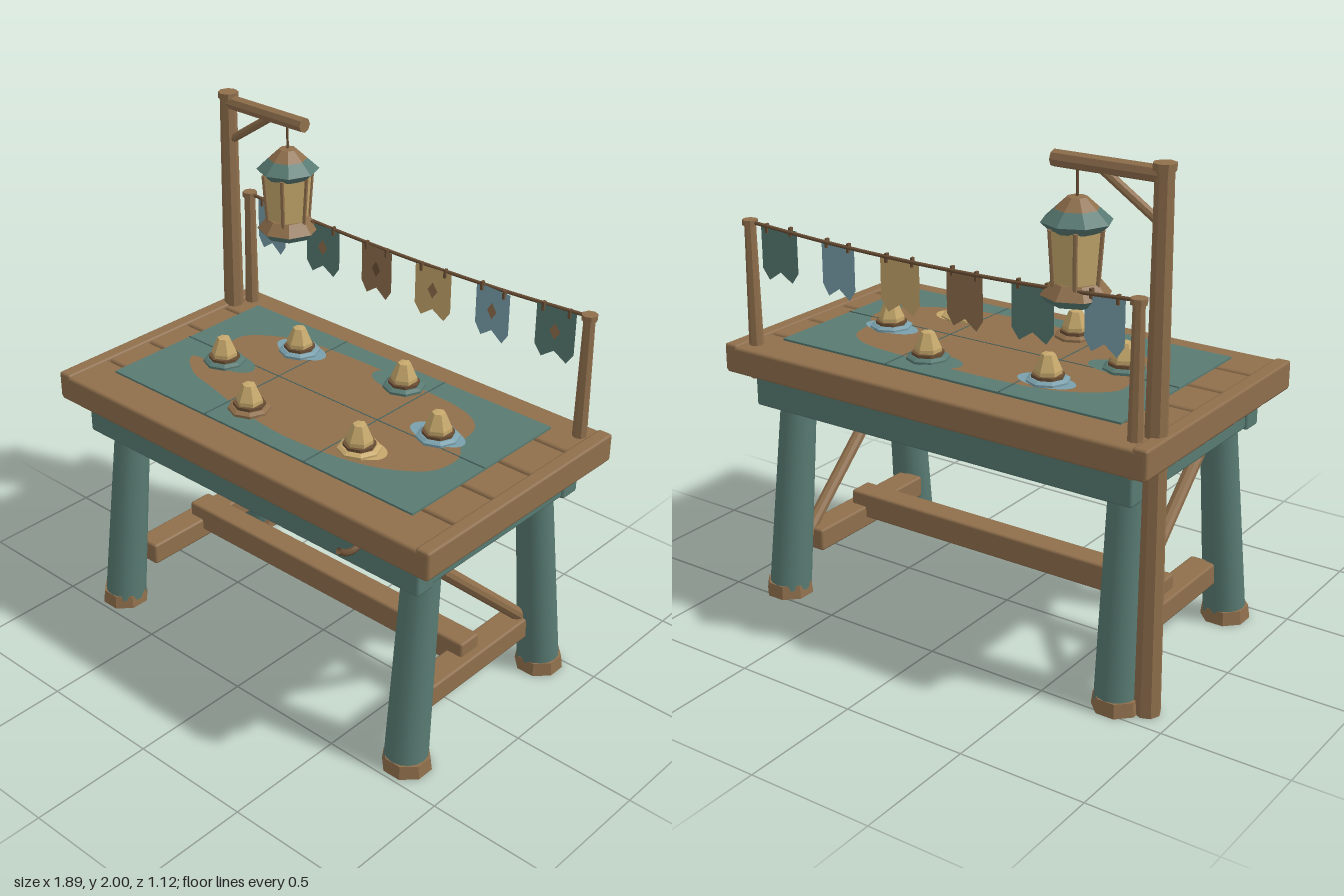
import * as THREE from 'three';
import { RoundedBoxGeometry } from 'three/addons/geometries/RoundedBoxGeometry.js';

const mat = (name, color, extra = {}) => {
  const m = new THREE.MeshStandardMaterial({ color, side: THREE.DoubleSide, ...extra });
  m.name = name;
  return m;
};

export function createModel() {
  const root = new THREE.Group();
  root.name = 'mapTable';
  const wood = mat('wood', 0x8f6f4c), teal = mat('teal', 0x587a72), blue = mat('blue', 0x7aa0ac);
  const tan = mat('tan', 0xc6a86c), dark = mat('darkWood', 0x6b4f35), ink = mat('creaseTeal', 0x4a655f);

  const add = (name, geo, m, x = 0, y = 0, z = 0, parent = root) => {
    const mesh = new THREE.Mesh(geo, m);
    mesh.name = name;
    mesh.position.set(x, y, z);
    parent.add(mesh);
    return mesh;
  };
  const flat = (geo) => {
    const g = geo.index ? geo.toNonIndexed() : geo;
    g.computeVertexNormals();
    return g;
  };
  // Box given by its low and high corners
  const box = (name, m, a, b, r = 0.01) => add(name,
    new RoundedBoxGeometry(b[0] - a[0], b[1] - a[1], b[2] - a[2], 1, r), m,
    (a[0] + b[0]) / 2, (a[1] + b[1]) / 2, (a[2] + b[2]) / 2);
  // Tapered pole between two points
  const pole = (name, m, a, b, ra, rb = ra, sides = 8, smooth = false) => {
    const p = new THREE.Vector3(...a), q = new THREE.Vector3(...b), d = q.clone().sub(p);
    const geo = new THREE.CylinderGeometry(rb, ra, d.length(), sides);
    const mesh = add(name, smooth ? geo : flat(geo), m);
    mesh.position.copy(p.add(q).multiplyScalar(0.5));
    mesh.quaternion.setFromUnitVectors(new THREE.Vector3(0, 1, 0), d.normalize());
    return mesh;
  };
  // Faceted stack of rings: [radius, y]
  const turned = (name, m, pts, sides, x, y, z, parent = root) => add(name,
    flat(new THREE.LatheGeometry(pts.map((p) => new THREE.Vector2(...p)), sides)), m, x, y, z, parent);

  // Table top: five planks and end battens
  for (let i = 0; i < 5; i++) {
    const z = -0.56 + i * 0.216;
    box('plank', wood, [-0.94, 0.955, z + 0.004], [0.94, 1.064, z + 0.212], 0.012);
  }
  for (const s of [-1, 1]) {
    box('endBatten', wood, [s * 0.913 - 0.03, 0.96, -0.555], [s * 0.913 + 0.03, 1.072, 0.515], 0.01);
  }

  // Apron frame
  for (const z of [0.405, -0.445]) box('longApron', teal, [-0.85, 0.815, z - 0.045], [0.85, 0.955, z + 0.045]);
  for (const s of [-1, 1]) {
    box('sideApron', teal, [s * 0.79 - 0.05, 0.82, -0.45], [s * 0.79 + 0.05, 0.955, 0.41]);
  }
  box('apronTrim', wood, [-0.82, 0.922, 0.44], [0.845, 0.944, 0.455], 0.003);

  // Splayed legs, feet and side bracing
  for (const s of [-1, 1]) {
    for (const [zb, zt] of [[0.392, 0.31], [-0.428, -0.348]]) {
      pole('leg', teal, [s * 0.775, 0.03, zb], [s * 0.755, 0.85, zt], 0.084, 0.07, 16, true);
      add('foot', flat(new THREE.CylinderGeometry(0.09, 0.097, 0.055, 8)), wood, s * 0.78, 0.0275, zb)
        .rotation.y = Math.PI / 8;
    }
    box('sideStretcher', wood, [s * 0.72 - 0.055, 0.172, -0.35], [s * 0.72 + 0.055, 0.265, 0.31]);
    pole('diagonalBrace', wood, [s * 0.735, 0.82, 0.265], [s * 0.735, 0.24, -0.36], 0.027, 0.027, 10);
  }
  box('longStretcher', wood, [-0.74, 0.215, -0.07], [0.74, 0.323, 0.035]);

  // Hook under the front edge
  add('hook', new THREE.TubeGeometry(new THREE.CatmullRomCurve3([
    new THREE.Vector3(0.58, 0.91, 0.44), new THREE.Vector3(0.58, 0.905, 0.48),
    new THREE.Vector3(0.58, 0.915, 0.52), new THREE.Vector3(0.58, 0.94, 0.555)]), 10, 0.013, 6), dark);

  // Map sheet with land and fold lines
  add('mapSheet', new THREE.BoxGeometry(1.52, 0.008, 0.8), teal, 0, 1.084, -0.02);
  const coast = [[-0.6, -0.17], [-0.5, -0.26], [-0.36, -0.31], [-0.02, -0.33], [0.13, -0.32], [0.46, -0.29],
    [0.56, -0.22], [0.59, -0.1], [0.65, -0.01], [0.64, 0.11], [0.56, 0.19], [0.41, 0.26], [0.08, 0.3],
    [-0.17, 0.27], [-0.38, 0.22], [-0.53, 0.18], [-0.63, 0.09], [-0.55, 0.06], [-0.59, -0.05]];
  const sheet = (name, shape, m, x, y, z) => {
    const mesh = add(name, new THREE.ShapeGeometry(shape, 16), m, x, y, z);
    mesh.rotation.x = -Math.PI / 2;
    return mesh;
  };
  const curve = new THREE.CatmullRomCurve3(coast.map(([x, z]) => new THREE.Vector3(x, -z, 0)), true);
  sheet('land', new THREE.Shape(curve.getPoints(76).map((p) => new THREE.Vector2(p.x, p.y))), wood, 0, 1.09, 0);
  for (const x of [-0.255, 0.255]) add('fold', new THREE.BoxGeometry(0.005, 0.003, 0.8), ink, x, 1.09, -0.02);
  add('fold', new THREE.BoxGeometry(1.52, 0.003, 0.005), ink, 0, 1.09, -0.02);

  // Tokens on coloured patches
  const tokens = [[-0.34, -0.23, blue, 0.0], [0.16, -0.285, teal, -0.04], [0.5, -0.076, blue, -0.01],
    [0.345, 0.183, tan, 0.02], [-0.157, 0.24, wood, 0], [-0.5, 0.035, teal, 0.025]];
  for (const [x, z, m, shift] of tokens) {
    const patch = new THREE.Shape();
    patch.absellipse(0, 0, m === tan || m === wood ? 0.09 : 0.12, 0.065, 0, Math.PI * 2);
    sheet('patch', patch, m, x + shift, 1.093, z - 0.01);
    const token = new THREE.Group();
    token.name = 'token';
    token.position.set(x, 1.09, z);
    root.add(token);
    turned('tokenBase', m, [[0, 0], [0.083, 0], [0.083, 0.01], [0.068, 0.018], [0, 0.018]], 8, 0, 0, 0, token);
    turned('tokenRing', dark, [[0.062, 0.016], [0.062, 0.03], [0, 0.03]], 8, 0, 0, 0, token);
    turned('tokenTop', tan, [[0.052, 0.028], [0.052, 0.045], [0.026, 0.105], [0, 0.108]], 6, 0, 0, 0, token);
  }

  // Lantern post with arm and brace
  const pz = -0.405;
  pole('lanternPost', wood, [-0.89, 0, pz], [-0.89, 1.98, pz], 0.05, 0.034);
  pole('postCap', wood, [-0.89, 1.975, pz], [-0.89, 2, pz], 0.041);
  pole('lanternArm', wood, [-0.9, 1.96, pz], [-0.47, 1.96, pz], 0.03);
  pole('armBrace', wood, [-0.88, 1.8, pz], [-0.66, 1.945, pz], 0.017);

  // Lantern
  const lantern = new THREE.Group();
  lantern.name = 'lantern';
  lantern.position.set(-0.563, 0, pz);
  root.add(lantern);
  add('hanger', new THREE.CylinderGeometry(0.005, 0.005, 0.11, 6), dark, 0, 1.885, 0, lantern);
  turned('roofCap', wood, [[0.078, 1.803], [0.035, 1.842], [0, 1.845]], 8, 0, 0, 0, lantern);
  turned('roof', teal, [[0, 1.73], [0.095, 1.73], [0.125, 1.76], [0.078, 1.803]], 8, 0, 0, 0, lantern);
  const glass = turned('glass', tan, [[0.085, 1.55], [0.1, 1.735]], 6, 0, 0, 0, lantern);
  glass.rotation.y = Math.PI / 6;
  for (let i = 0; i < 6; i++) {
    const a = Math.PI / 6 + i * Math.PI / 3, sx = Math.sin(a), cz = Math.cos(a);
    lantern.add(pole('rib', wood, [sx * 0.086, 1.54, cz * 0.086], [sx * 0.101, 1.74, cz * 0.101], 0.008, 0.008, 6));
  }
  turned('lanternBase', wood, [[0.125, 1.508], [0.088, 1.553], [0, 1.553]], 8, 0, 0, 0, lantern);
  turned('lanternFoot', teal, [[0, 1.48], [0.1, 1.48], [0.125, 1.508]], 8, 0, 0, 0, lantern);

  // Banner posts and sagging rope
  const bz = -0.475;
  for (const s of [-1, 1]) {
    pole('bannerPost', wood, [s * 0.85, 0.93, bz], [s * 0.85, 1.55, bz], 0.03, 0.022);
    pole('bannerPostCap', wood, [s * 0.85, 1.54, bz], [s * 0.85, 1.562, bz], 0.03);
  }
  const ropeY = (x) => 1.523 + 0.03 * (x / 0.85) ** 2;
  const ropePts = [-0.85, -0.5, -0.2, 0, 0.2, 0.5, 0.85].map((x) => new THREE.Vector3(x, ropeY(x), bz));
  add('rope', new THREE.TubeGeometry(new THREE.CatmullRomCurve3(ropePts), 32, 0.007, 6), dark);

  // Swallow-tailed pennants with a diamond and two clips
  const poly = (pts) => new THREE.ShapeGeometry(new THREE.Shape(pts.map((p) => new THREE.Vector2(...p))));
  const pennant = poly([[-0.083, 0], [-0.083, -0.165], [-0.053, -0.208], [0, -0.172], [0.053, -0.208],
    [0.083, -0.165], [0.083, 0]]);
  const diamond = poly([[0, -0.058], [-0.023, -0.092], [0, -0.126], [0.023, -0.092]]);
  [blue, teal, wood, tan, blue, teal].forEach((m, i) => {
    const x = -0.715 + i * 0.286;
    const flag = new THREE.Group();
    flag.name = 'pennant';
    flag.position.set(x, ropeY(x), bz + 0.01);
    flag.rotation.y = i % 2 ? 0.08 : -0.08;
    root.add(flag);
    add('cloth', pennant, m, 0, 0, 0, flag);
    add('diamond', diamond, m === wood ? dark : wood, 0, 0, 0.003, flag);
    for (const s of [-1, 1]) add('clip', new THREE.BoxGeometry(0.01, 0.035, 0.016), dark, s * 0.055, -0.005, 0, flag);
  });
  return root;
}
